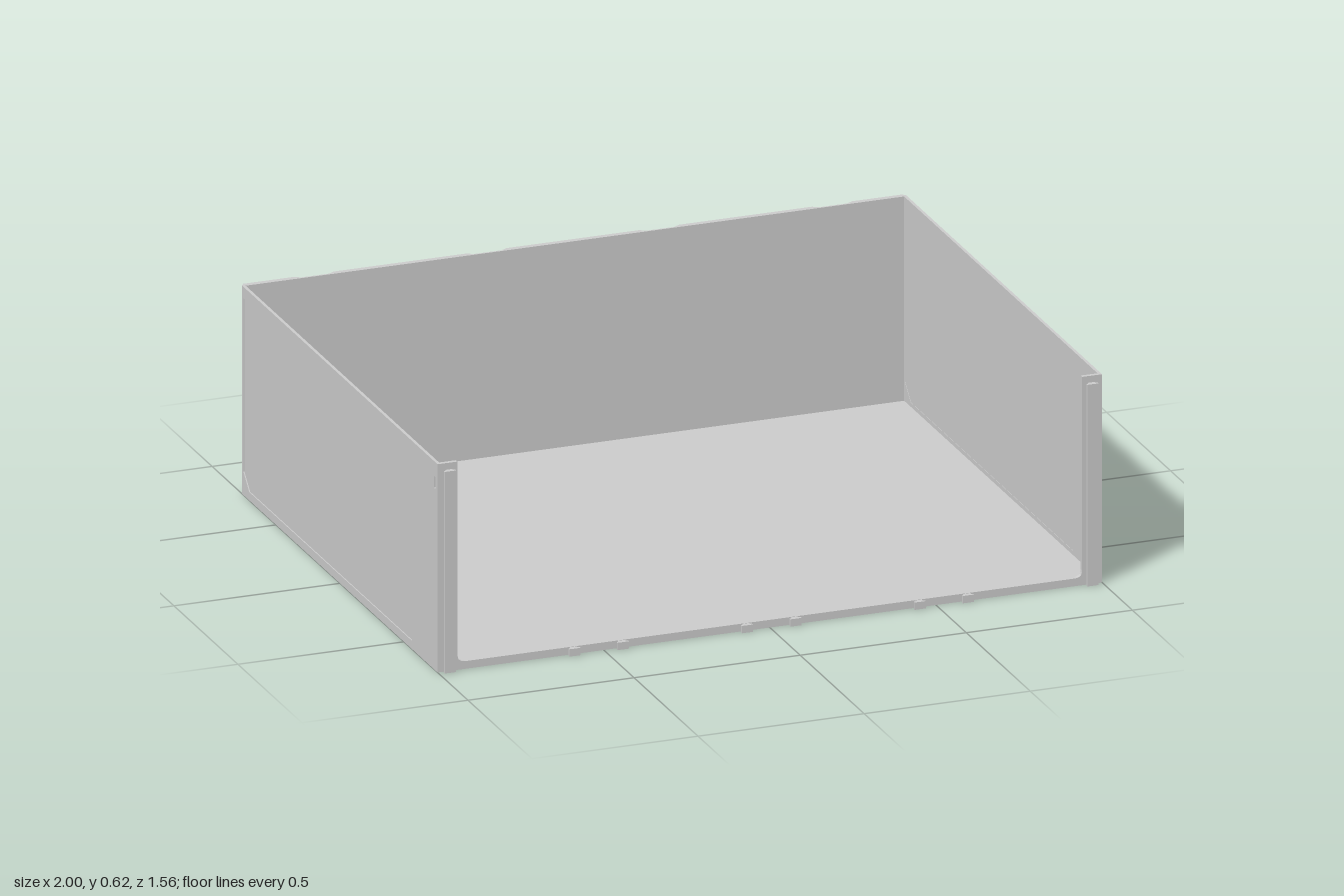
import * as THREE from 'three';

const W = 1, H = 0.625, BACK = -0.778, BACK_IN = -0.765, FRONT = 0.763;
const mat = new THREE.MeshStandardMaterial({ color: 0xcccccc, flatShading: true, side: THREE.DoubleSide });
const V = (p) => new THREE.Vector2(p[0], p[1]);

export function createModel() {
  const root = new THREE.Group();
  const add = (name, geo, parent = root) => {
    const m = new THREE.Mesh(geo, mat);
    m.name = name;
    parent.add(m);
    return m;
  };
  const box = (name, x0, x1, y0, y1, z0, z1) => {
    const g = new THREE.BoxGeometry(x1 - x0, y1 - y0, z1 - z0);
    return add(name, g.translate((x0 + x1) / 2, (y0 + y1) / 2, (z0 + z1) / 2));
  };
  const shape = (pts, holes = []) => {
    const s = new THREE.Shape(pts.map(V));
    s.holes = holes.map((h) => new THREE.Path(h.map(V)));
    return s;
  };
  const extrude = (s, depth) => new THREE.ExtrudeGeometry(s, { depth, bevelEnabled: false, curveSegments: 5 });

  // Sloped band joining two matching loops at different depths
  const band = (a, za, b, zb) => {
    const pos = [];
    a.forEach((p, i) => {
      const j = (i + 1) % a.length;
      const A = [...p, za], B = [...a[j], za], C = [...b[j], zb], D = [...b[i], zb];
      pos.push(...A, ...D, ...B, ...B, ...D, ...C);
    });
    const g = new THREE.BufferGeometry();
    g.setAttribute('position', new THREE.Float32BufferAttribute(pos, 3));
    g.computeVertexNormals();
    return g;
  };

  // Floor
  box('floor', -W + 0.005, W - 0.005, 0, 0.012, BACK_IN, FRONT);

  // Side walls: thin frame with a recessed panel and a slot near the front
  // (drawn as z, y, then turned to face sideways)
  const panel = [[0.715, 0.18], [0.56, 0.025], [-0.71, 0.025], [-0.755, 0.07],
    [-0.755, 0.59], [0.67, 0.59], [0.715, 0.545]];
  const slot = [[0.733, 0.545], [0.748, 0.545], [0.748, 0.58], [0.733, 0.58]];
  const edge = [[BACK_IN, 0], [FRONT, 0], [FRONT, H], [BACK_IN, H]];
  for (const s of [1, -1]) {
    const wall = new THREE.Group();
    wall.name = s > 0 ? 'leftWall' : 'rightWall';
    const place = (geo, outer, t) => {
      geo.rotateY(-Math.PI / 2); // z,y drawing: x -> z, depth -> -x
      return geo.translate(s > 0 ? outer : -outer + t, 0, 0);
    };
    add('wallFrame', place(extrude(shape(edge, [panel, slot]), 0.009), W, 0.009), wall);
    add('wallPanel', place(extrude(shape(panel), 0.005), W - 0.003, 0.005), wall);
    root.add(wall);
  }

  // Back wall: inner sheet
  box('backSheet', -W, W, 0, H, BACK_IN - 0.002, BACK_IN + 0.004);

  // Back wall: ribbed outside with bevelled pockets and notches in the top edge
  const loop = (x0, x1, y0, y1, c) => [[x0, y0], [x1, y0], [x1, y1 - c], [x1 - c, y1], [x0 + c, y1], [x0, y1 - c]];
  const notches = [0.78, 0.26, -0.26, -0.78];
  const outline = (x, inset) => {
    const p = [[-x, 0], [x, 0], [x, H]];
    for (const c of notches) {
      const w = 0.06 - inset, y = 0.51 + inset;
      p.push([c + w, H], [c + w, y], [c - w, y], [c - w, H]);
    }
    p.push([-x, H]);
    return p;
  };
  const pockets = [];
  for (const c of [-0.52, 0, 0.52]) pockets.push([c - 0.195, c + 0.195, 0.59]);
  for (const c of notches) pockets.push([c - 0.053, c + 0.053, 0.485]);
  for (const s of [1, -1]) pockets.push([s * 0.917 - 0.063, s * 0.917 + 0.063, 0.59]);
  const rims = pockets.map(([a, b, top]) => loop(a, b, 0.022, top, 0.025));
  const back = new THREE.Group();
  back.name = 'backRibs';
  root.add(back);
  const face = new THREE.ShapeGeometry(shape(outline(W - 0.008, 0), rims));
  add('backFace', face.translate(0, 0, BACK), back);
  add('backEdge', band(outline(W - 0.008, 0), BACK, outline(W, 0.018), BACK_IN - 0.002), back);
  pockets.forEach(([a, b, top], i) => {
    const d = 0.022;
    const floor = loop(a + d, b - d, 0.022 + d, top - d, 0.02);
    add('pocketBevel', band(rims[i], BACK, floor, BACK_IN - 0.002), back);
  });

  // Front frame: two posts joined by a low sill with rounded corners
  const u = new THREE.Shape();
  u.moveTo(-W, 0).lineTo(W, 0).lineTo(W, H).lineTo(0.94, H).lineTo(0.94, 0.045);
  u.quadraticCurveTo(0.94, 0.023, 0.918, 0.023).lineTo(-0.918, 0.023);
  u.quadraticCurveTo(-0.94, 0.023, -0.94, 0.045).lineTo(-0.94, H).lineTo(-W, H);
  add('frontFrame', extrude(u, 0.012).translate(0, 0, FRONT - 0.012));

  // Dovetail rails on the posts and small clips on the sill
  const dovetail = (name, x, w, h) => {
    const n = w * 0.32, d = 0.015;
    const g = extrude(shape([[-n, 0], [n, 0], [n, -0.006], [w / 2, -0.009], [w / 2, -d], [-w / 2, -d], [-w / 2, -0.009], [-n, -0.006]]), h);
    g.rotateX(-Math.PI / 2);
    add(name, g.translate(x, 0, FRONT));
  };
  for (const s of [1, -1]) {
    dovetail('postRail', s * 0.967, 0.034, 0.605);
    for (const x of [0.073, 0.447, 0.592]) dovetail('sillClip', s * x, 0.034, 0.022);
  }
  return root;
}
